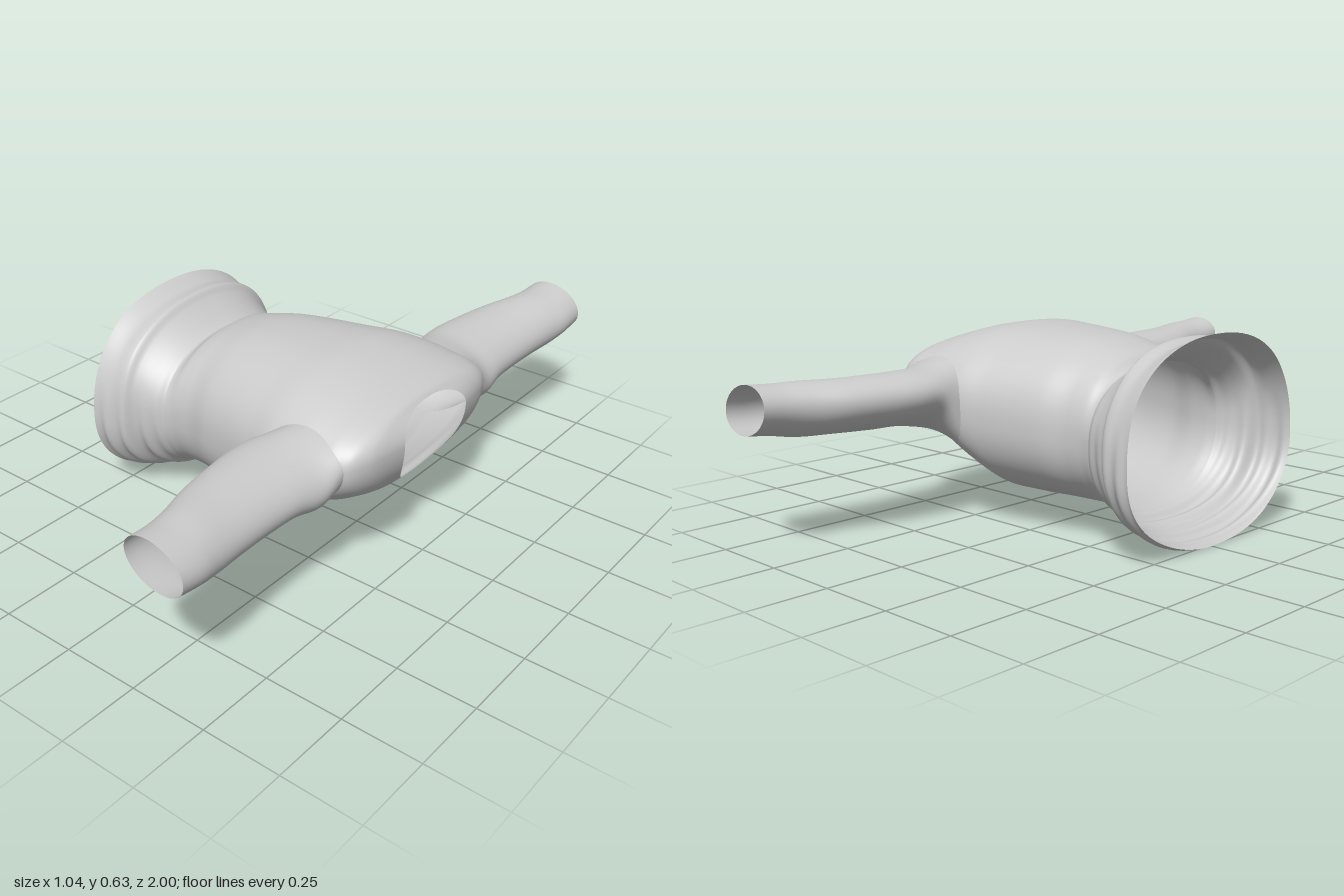
import * as THREE from 'three';

const material = new THREE.MeshStandardMaterial({ color: 0xcccccc, side: THREE.DoubleSide });

// Torso cross-sections along x: [x, top y, bottom y, half width z, widest y, x shift at top, x shift at bottom]
const SECTIONS = [
  [-0.51, 0.630, 0.003, 0.385, 0.30, -0.005, 0.00],
  [-0.45, 0.607, 0.015, 0.375, 0.30, 0, 0],
  [-0.405, 0.612, 0.030, 0.362, 0.31, 0, 0],
  [-0.385, 0.590, 0.045, 0.342, 0.31, 0, 0],
  [-0.34, 0.552, 0.052, 0.322, 0.31, 0, 0],
  [-0.31, 0.532, 0.070, 0.312, 0.31, 0, 0],
  [-0.29, 0.524, 0.076, 0.298, 0.31, 0, 0],
  [-0.25, 0.551, 0.083, 0.293, 0.32, 0, 0],
  [-0.20, 0.568, 0.086, 0.295, 0.32, 0, 0],
  [-0.10, 0.590, 0.086, 0.320, 0.33, 0, 0],
  [0.00, 0.600, 0.083, 0.340, 0.34, 0, 0],
  [0.10, 0.605, 0.083, 0.362, 0.35, 0, 0],
  [0.20, 0.608, 0.130, 0.385, 0.37, 0, 0],
  [0.30, 0.596, 0.195, 0.390, 0.395, 0, 0],
  [0.40, 0.570, 0.240, 0.385, 0.415, 0, -0.02],
  [0.46, 0.553, 0.260, 0.355, 0.43, -0.01, -0.045],
  [0.50, 0.542, 0.267, 0.285, 0.445, -0.025, -0.06],
  [0.522, 0.530, 0.272, 0.160, 0.45, -0.035, -0.072],
];

// Monotone cubic interpolation of one table column
function sample(col, x) {
  const S = SECTIONS, n = S.length;
  let i = 0;
  while (i < n - 2 && x > S[i + 1][0]) i++;
  const d = k => (S[k + 1][col] - S[k][col]) / (S[k + 1][0] - S[k][0]);
  const slope = k => {
    if (k === 0) return d(0);
    if (k === n - 1) return d(n - 2);
    const a = d(k - 1), b = d(k);
    return a * b > 0 ? 2 * a * b / (a + b) : 0;
  };
  const h = S[i + 1][0] - S[i][0], t = (x - S[i][0]) / h, t2 = t * t, t3 = t2 * t;
  return S[i][col] * (2 * t3 - 3 * t2 + 1) + S[i + 1][col] * (3 * t2 - 2 * t3)
    + h * (slope(i) * (t3 - 2 * t2 + t) + slope(i + 1) * (t3 - t2));
}

const rounded = v => Math.sign(v) * Math.pow(Math.abs(v), 0.88);

// Point on the torso surface; angle 0 is +z, a quarter turn is the top
function torsoPoint(u, angle) {
  const [top, bottom, width, mid, shiftTop, shiftBottom] = [1, 2, 3, 4, 5, 6].map(c => sample(c, u));
  const s = rounded(Math.sin(angle)), c = rounded(Math.cos(angle));
  // gathered folds on the hem, strongest underneath
  const fade = THREE.MathUtils.clamp((-0.29 - u) / 0.06, 0, 1);
  const under = THREE.MathUtils.clamp(0.35 - s, 0, 1);
  const fold = 1 + fade * (0.022 * under * Math.sin(u * 110 + 2.5 * c) + 0.008 * Math.sin(angle * 5 + u * 20));
  return new THREE.Vector3(
    u + (s > 0 ? shiftTop : shiftBottom) * s * s,
    mid + (s > 0 ? top - mid : (mid - bottom) * Math.min(fold, 1.01)) * s,
    width * c * fold);
}

// Armhole: an ellipse in the torso's surface parameters
const ARM = { u: 0.31, ru: 0.145, ra: 0.6 };

function gridMesh(name, points, cells) {
  const geometry = new THREE.BufferGeometry().setFromPoints(points);
  geometry.setIndex(cells);
  geometry.computeVertexNormals();
  const mesh = new THREE.Mesh(geometry, material);
  mesh.name = name;
  return mesh;
}

// Tube of the torso between two x values, leaving the armholes open
function torsoPart(name, from, to, rows) {
  const cols = 160, points = [], depth = [], cells = [];
  for (let i = 0; i <= rows; i++) {
    for (let j = 0; j < cols; j++) {
      let u = from + (to - from) * i / rows;
      let angle = j / cols * Math.PI * 2;
      const front = Math.cos(angle) >= 0;
      let side = Math.atan2(Math.sin(angle), Math.abs(Math.cos(angle)));
      let d = Math.hypot((u - ARM.u) / ARM.ru, side / ARM.ra);
      if (d > 0.9 && d < 1) { // pull nearby vertices onto the armhole edge
        u = ARM.u + (u - ARM.u) / d;
        side /= d;
        angle = front ? side : Math.PI - side;
        d = 1;
      }
      points.push(torsoPoint(u, angle));
      depth.push(d);
    }
  }
  for (let i = 0; i < rows; i++) {
    for (let j = 0; j < cols; j++) {
      const a = i * cols + j, b = i * cols + (j + 1) % cols, c = a + cols, e = b + cols;
      for (const tri of [[a, b, c], [b, e, c]]) {
        if (tri.some(k => depth[k] > 1) || tri.every(k => depth[k] === 1)) cells.push(...tri);
      }
    }
  }
  return gridMesh(name, points, cells);
}

// Sleeve cross-sections: [z, min x, max x, min y, max y]
const SLEEVE = [
  [0.43, 0.168, 0.447, 0.313, 0.502],
  [0.52, 0.165, 0.436, 0.330, 0.500],
  [0.62, 0.177, 0.433, 0.333, 0.500],
  [0.74, 0.200, 0.438, 0.338, 0.501],
  [0.85, 0.235, 0.448, 0.342, 0.505],
  [0.92, 0.250, 0.456, 0.354, 0.505],
  [1.00, 0.258, 0.456, 0.365, 0.511],
];

// Sleeve flaring out of the armhole edge, open at the cuff
function sleeve(name, side) {
  const cols = 64, rows = 60, points = [], cells = [];
  for (let j = 0; j < cols; j++) {
    const a = j / cols * Math.PI * 2, c = Math.cos(a), s = Math.sin(a);
    const start = torsoPoint(ARM.u + ARM.ru * c, ARM.ra * s);
    const path = [start, ...SLEEVE.map(([z, x0, x1, y0, y1]) => {
      const dx = (x1 - x0) / 2 * c;
      return new THREE.Vector3((x0 + x1) / 2 + dx,
        (y0 + y1) / 2 + (y1 - y0) / 2 * s - 0.15 * dx + 0.006 * side, z);
    })];
    const curve = new THREE.CatmullRomCurve3(path);
    for (let i = 0; i <= rows; i++) {
      const p = curve.getPoint(i / rows);
      p.z *= side;
      points.push(p);
    }
  }
  for (let j = 0; j < cols; j++) {
    for (let i = 0; i < rows; i++) {
      const a = j * (rows + 1) + i, b = ((j + 1) % cols) * (rows + 1) + i;
      cells.push(...(side > 0 ? [a, b, a + 1, b, b + 1, a + 1] : [a, a + 1, b, b, a + 1, b + 1]));
    }
  }
  return gridMesh(name, points, cells);
}

export function createModel() {
  const group = new THREE.Group();
  group.name = 'pullover';
  group.add(
    torsoPart('hemBand', -0.51, -0.29, 50),
    torsoPart('torso', -0.29, 0.522, 130),
    sleeve('frontSleeve', 1),
    sleeve('backSleeve', -1));
  return group;
}
